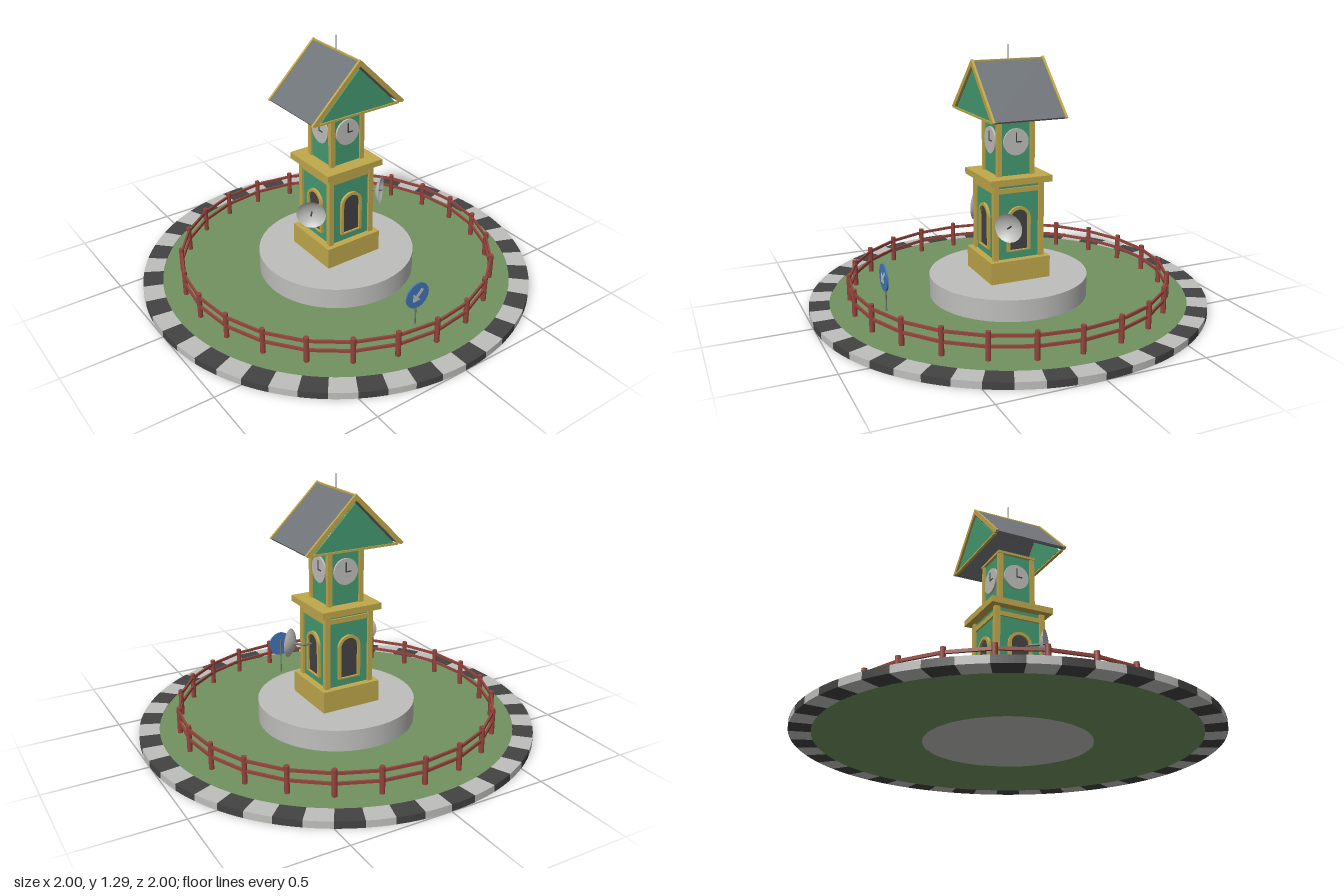
import * as THREE from 'three';
import { mergeGeometries } from 'three/addons/utils/BufferGeometryUtils.js';

const mat = (name, color, side = THREE.FrontSide) => {
  const m = new THREE.MeshStandardMaterial({ color, side });
  m.name = name;
  return m;
};

export function createModel() {
  const M = {
    stone: mat('lightStone', 0xbebebc, THREE.DoubleSide),
    dark: mat('darkGrey', 0x434343),
    grass: mat('grassGreen', 0x71925f),
    gold: mat('goldTrim', 0xc0a84c),
    wall: mat('wallGreen', 0x459a72),
    roof: mat('roofGrey', 0x70757a),
    fence: mat('fenceRed', 0x95443c),
    blue: mat('signBlue', 0x4375b8),
    metal: mat('poleGrey', 0x77796f),
  };
  const model = new THREE.Group();
  model.name = 'clockTowerRoundabout';

  const add = (parent, name, geo, material, x = 0, y = 0, z = 0) => {
    const m = new THREE.Mesh(geo, material);
    m.name = name;
    m.position.set(x, y, z);
    parent.add(m);
    return m;
  };
  const group = (parent, name) => {
    const g = new THREE.Group();
    g.name = name;
    parent.add(g);
    return g;
  };
  // box given by its bottom and top heights
  const block = (parent, name, material, w, y0, y1, d, x = 0, z = 0) =>
    add(parent, name, new THREE.BoxGeometry(w, y1 - y0, d), material, x, (y0 + y1) / 2, z);
  const extrude = (shape, depth, curveSegments = 12) =>
    new THREE.ExtrudeGeometry(shape, { depth, bevelEnabled: false, curveSegments });
  const polygon = (pts) => new THREE.Shape(pts.map(([x, y]) => new THREE.Vector2(x, y)));
  // rod between two points
  const rod = (parent, name, material, a, b, r) => {
    const d = b.clone().sub(a);
    const m = add(parent, name, new THREE.CylinderGeometry(r, r, d.length(), 8), material);
    m.position.copy(a).add(b).multiplyScalar(0.5);
    m.quaternion.setFromUnitVectors(new THREE.Vector3(0, 1, 0), d.normalize());
    return m;
  };

  // ---- Kerb ring of alternating blocks
  const KERB = 0.034;
  const kerbs = [[], []];
  const step = Math.PI / 24;
  for (let i = 0; i < 48; i++) {
    const s = new THREE.Shape();
    s.absarc(0, 0, 1, i * step, (i + 1) * step, false);
    s.absarc(0, 0, 0.9, (i + 1) * step, i * step, true);
    kerbs[i % 2].push(extrude(s, KERB, 3).rotateX(-Math.PI / 2));
  }
  add(model, 'darkKerbBlocks', mergeGeometries(kerbs[0]), M.dark);
  add(model, 'lightKerbBlocks', mergeGeometries(kerbs[1]), M.stone);

  // ---- Lawn ring and round pedestal
  const lawn = new THREE.Shape();
  lawn.absarc(0, 0, 0.9, 0, Math.PI * 2, false);
  const hole = new THREE.Path();
  hole.absarc(0, 0, 0.398, 0, Math.PI * 2, true);
  lawn.holes.push(hole);
  add(model, 'lawn', extrude(lawn, 0.031, 72).rotateX(-Math.PI / 2), M.grass);
  add(model, 'pedestal', new THREE.CylinderGeometry(0.4, 0.4, 0.14, 64), M.stone, 0, 0.07, 0);

  // ---- Fence: 24 posts joined by two straight rails
  const fence = group(model, 'fence');
  const R = 0.8, bay = Math.PI / 12;
  const railLength = 2 * R * Math.sin(bay / 2);
  for (let i = 0; i < 24; i++) {
    const a = i * bay;
    add(fence, 'fencePost', new THREE.CylinderGeometry(0.013, 0.013, 0.135, 8), M.fence,
      R * Math.sin(a), 0.0975, R * Math.cos(a));
    const b = a + bay / 2, r = R * Math.cos(bay / 2);
    for (const y of [0.093, 0.143]) {
      add(fence, 'fenceRail', new THREE.BoxGeometry(railLength, 0.014, 0.01), M.fence,
        r * Math.sin(b), y, r * Math.cos(b)).rotation.y = b;
    }
  }

  // ---- Tower: plinth, lower shaft, cornice, upper shaft
  const tower = group(model, 'tower');
  block(tower, 'plinth', M.gold, 0.316, 0.14, 0.25, 0.316);
  block(tower, 'lowerWalls', M.wall, 0.244, 0.25, 0.632, 0.244);
  block(tower, 'cornice', M.gold, 0.328, 0.632, 0.664, 0.328);
  block(tower, 'upperWalls', M.wall, 0.178, 0.664, 0.955, 0.178);
  block(tower, 'upperCap', M.gold, 0.204, 0.945, 0.958, 0.204);
  for (const x of [-1, 1]) for (const z of [-1, 1]) {
    block(tower, 'lowerCornerPost', M.gold, 0.027, 0.25, 0.632, 0.027, x * 0.1205, z * 0.1205);
    block(tower, 'upperCornerPost', M.gold, 0.024, 0.664, 0.95, 0.024, x * 0.087, z * 0.087);
  }

  // ---- Arched doorway and clock, the same on all four sides
  const arch = (w, y0, top) => {
    const s = new THREE.Shape();
    s.moveTo(-w, y0);
    s.lineTo(w, y0);
    s.absarc(0, top - w, w, 0, Math.PI, false);
    s.closePath();
    return s;
  };
  const frameShape = arch(0.062, 0.29, 0.515);
  frameShape.holes.push(arch(0.047, 0.296, 0.5));
  for (let i = 0; i < 4; i++) {
    const side = group(tower, 'towerSide');
    side.rotation.y = i * Math.PI / 2;
    add(side, 'doorFrame', extrude(frameShape, 0.014), M.gold, 0, 0, 0.122);
    add(side, 'door', extrude(arch(0.048, 0.292, 0.501), 0.004), M.dark, 0, 0, 0.122);
    block(side, 'wallBand', M.gold, 0.22, 0.586, 0.61, 0.012, 0, 0.125);
    add(side, 'clockFace', new THREE.CylinderGeometry(0.066, 0.066, 0.01, 32).rotateX(Math.PI / 2),
      M.stone, 0, 0.83, 0.094);
    block(side, 'minuteHand', M.dark, 0.006, 0.827, 0.877, 0.003, 0, 0.1);
    block(side, 'hourHand', M.dark, 0.032, 0.827, 0.833, 0.003, 0.013, 0.1);
  }

  // ---- Gabled roof, open underneath
  const roof = group(model, 'roof');
  const slope = (outer, inner, base) => polygon([
    [0, outer], [0, inner], [inner - base, base], [(outer + inner) / 2 - base + 0.004, base - 0.004],
    [outer - base, base + 0.004],
  ].reverse());
  for (const s of [-1, 1]) {
    const half = group(roof, 'roofHalf');
    half.rotation.y = s > 0 ? 0 : Math.PI;
    add(half, 'roofSlab', extrude(slope(1.219, 1.199, 0.96), 0.37), M.roof, 0, 0, -0.185);
    for (const z of [-0.192, 0.18])
      add(half, 'gableTrim', extrude(slope(1.226, 1.195, 0.96), 0.012), M.gold, 0, 0, z);
    add(half, 'gablePanel', extrude(polygon([[-0.216, 0.964], [0.216, 0.964], [0, 1.18]]), 0.009),
      M.wall, 0, 0, 0.176);
    block(half, 'gableBeam', M.gold, 0.47, 0.955, 0.965, 0.014, 0, 0.184);
  }
  block(roof, 'ridge', M.gold, 0.01, 1.208, 1.221, 0.37);
  add(roof, 'spire', new THREE.CylinderGeometry(0.003, 0.003, 0.08, 8), M.metal, 0, 1.25, 0);

  // ---- Dishes on the two flanks, turned outward and forward
  const profile = [[0, -0.026], [0.022, -0.023], [0.045, -0.015], [0.062, -0.005], [0.072, 0.003]]
    .map(([x, y]) => new THREE.Vector2(x, y));
  for (const s of [-1, 1]) {
    const dish = group(model, s > 0 ? 'leftDish' : 'rightDish');
    const n = new THREE.Vector3(s * 0.65, 0, 0.76).normalize();
    const c = new THREE.Vector3(s * 0.213, 0.44, 0.091);
    const bowl = add(dish, 'dishBowl', new THREE.LatheGeometry(profile, 32), M.stone);
    bowl.position.copy(c);
    bowl.quaternion.setFromUnitVectors(new THREE.Vector3(0, 1, 0), n);
    const back = c.clone().addScaledVector(n, -0.026);
    rod(dish, 'dishFeed', M.dark, back, c.clone().addScaledVector(n, 0.012), 0.004);
    const elbow = new THREE.Vector3(s * 0.165, 0.44, 0.03);
    rod(dish, 'dishArm', M.metal, new THREE.Vector3(s * 0.11, 0.44, 0.03), elbow, 0.006);
    rod(dish, 'dishBracket', M.metal, elbow, back, 0.006);
  }

  // ---- Round road sign with an arrow pointing down to its right
  const sign = group(model, 'roadSign');
  add(sign, 'signPole', new THREE.CylinderGeometry(0.004, 0.004, 0.2, 8), M.metal, 0, 0.13, 0.645);
  add(sign, 'signDisc', new THREE.CylinderGeometry(0.067, 0.067, 0.008, 32).rotateX(Math.PI / 2),
    M.blue, 0, 0.203, 0.652);
  const arrow = polygon([[0.042, -0.008], [0.042, 0.008], [-0.006, 0.008], [-0.006, 0.03],
    [-0.042, 0], [-0.006, -0.03], [-0.006, -0.008]]);
  add(sign, 'signArrow', extrude(arrow, 0.002), M.stone, 0, 0.203, 0.656).rotation.z = Math.PI / 4;

  return model;
}
